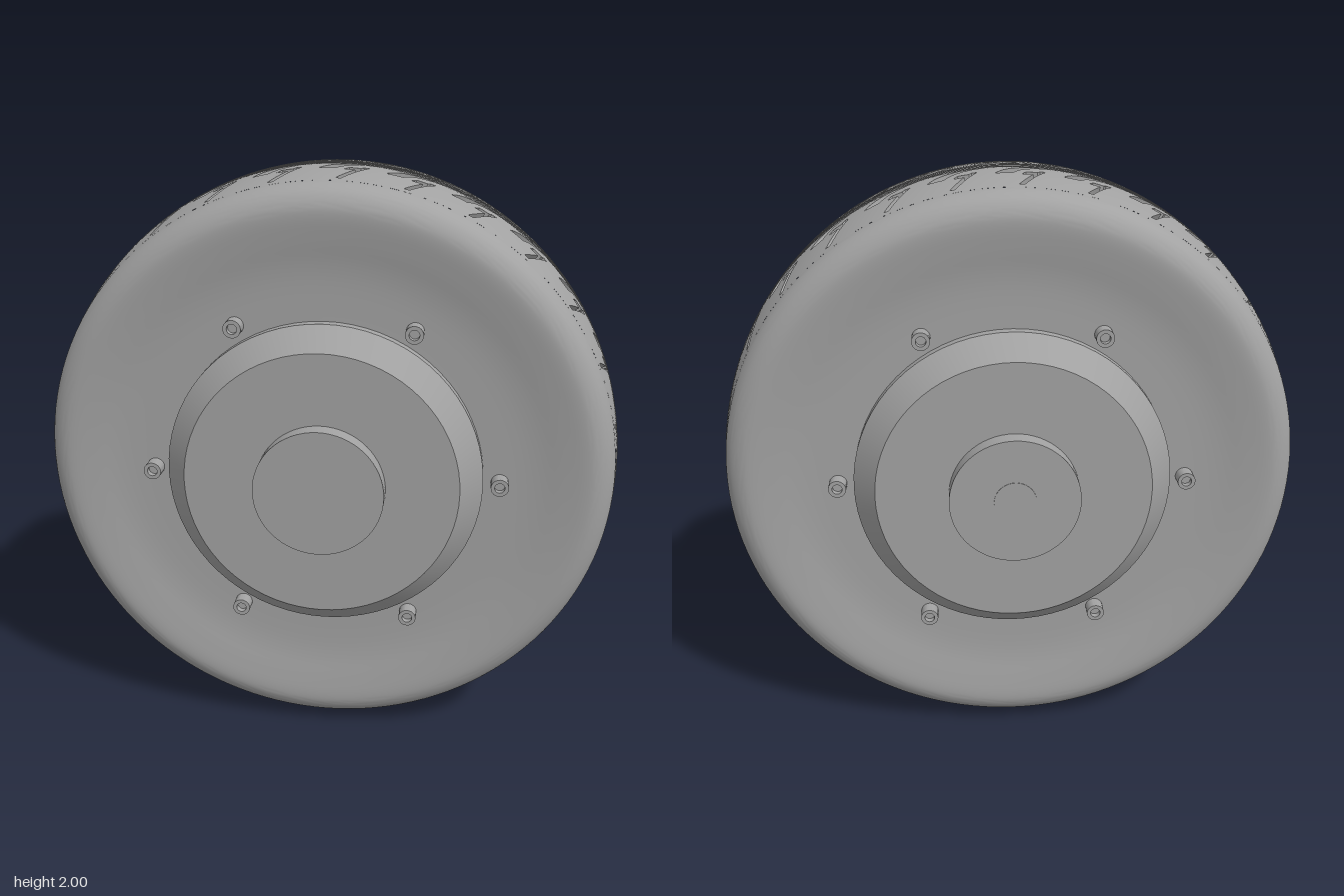
import * as THREE from 'three';
import { toCreasedNormals } from 'three/addons/utils/BufferGeometryUtils.js';

const grey = new THREE.MeshStandardMaterial({ color: 0xa2a2a2 });
grey.name = 'grey';

function part(name, geometry, parent) {
  const mesh = new THREE.Mesh(geometry, grey);
  mesh.name = name;
  parent.add(mesh);
  return mesh;
}

// Turned part about the z axis from [radius, z] points
function turned(points, segments, crease = 0.5) {
  const pts = points.map(([r, z]) => new THREE.Vector2(r, z));
  return toCreasedNormals(new THREE.LatheGeometry(pts, segments).rotateX(Math.PI / 2), crease);
}

// Tread band: a grid skewed along the groove direction, with sunken cells
const PITCHES = 28, CELLS = 12, COLS = 40, HALF = 0.26, DEPTH = 0.02;
const crown = z => 1 - 0.4 * z * z;
const skew = z => 0.5 * z + 0.25 * Math.tanh(z / 0.04);

function isGroove(i, j) {
  const z = ((j + 0.5) / COLS * 2 - 1) * HALF;
  let k = ((i % CELLS) + CELLS) % CELLS;
  if (z < 0) k = CELLS - 1 - k;
  const a = Math.abs(z);
  const lateral = k === 2 && a > 0.085 && a < 0.235;
  const stub = (k === 3 || k === 4) && a > 0.108 && a < 0.135;
  const centre = k >= 7 && k <= 9 && a > 0.012 && a < 0.115;
  return lateral || stub || centre;
}

function treadGeometry() {
  const pos = [], rows = PITCHES * CELLS;
  const point = ([i, j], depth) => {
    const z = (j / COLS * 2 - 1) * HALF;
    const angle = i / rows * Math.PI * 2 + skew(z), r = crown(z) - depth;
    return [r * Math.cos(angle), r * Math.sin(angle), z];
  };
  const quad = (a, b, c, d) => pos.push(...a, ...b, ...c, ...a, ...c, ...d);
  for (let i = 0; i < rows; i++) for (let j = 0; j < COLS; j++) {
    const deep = isGroove(i, j);
    const c = [[i, j], [i + 1, j], [i + 1, j + 1], [i, j + 1]];
    quad(...c.map(p => point(p, deep ? DEPTH : 0)));
    if (!deep) continue;
    // Groove walls
    [[i, j - 1], [i + 1, j], [i, j + 1], [i - 1, j]].forEach((n, e) => {
      if (isGroove(...n)) return;
      const a = c[e], b = c[(e + 1) % 4];
      quad(point(b, DEPTH), point(a, DEPTH), point(a, 0), point(b, 0));
    });
  }
  const g = new THREE.BufferGeometry();
  g.setAttribute('position', new THREE.Float32BufferAttribute(pos, 3));
  return toCreasedNormals(g, 0.4);
}

// Sidewall, hub, boss and bolts of one face, pointing to +z
function wheelFace(name) {
  const face = new THREE.Group();
  face.name = name;
  const wall = new THREE.SplineCurve([
    [crown(HALF), HALF], [0.966, 0.29], [0.945, 0.323], [0.91, 0.345], [0.87, 0.35],
    [0.8, 0.342], [0.72, 0.33], [0.64, 0.325], [0.5, 0.325],
  ].map(p => new THREE.Vector2(...p))).getPoints(40).map(p => [p.x, p.y]);
  part('sidewall', turned(wall, 128, 1), face);
  part('hub', turned([[0.535, 0.3], [0.535, 0.36], [0.46, 0.44], [0, 0.44]], 72), face);
  part('boss', turned([[0.217, 0.43], [0.217, 0.5], [0, 0.5]], 64), face);
  const bolt = turned([[0.03, 0.3], [0.03, 0.373], [0.017, 0.373], [0.017, 0.352], [0, 0.352]], 24);
  for (let i = 0; i < 6; i++) {
    const a = i * Math.PI / 3;
    part('bolt', bolt, face).position.set(0.59 * Math.cos(a), 0.59 * Math.sin(a), 0);
  }
  return face;
}

export function createModel() {
  const wheel = new THREE.Group();
  wheel.name = 'wheel';
  part('tread', treadGeometry(), wheel);
  const front = wheelFace('frontFace');
  const back = wheelFace('backFace');
  back.rotation.y = Math.PI;
  // Axle end, seen only on the back boss
  part('axleEnd', turned([[0.07, 0.49], [0.07, 0.502], [0, 0.502]], 48), back);
  wheel.add(front, back);
  wheel.position.y = 1;
  const model = new THREE.Group();
  model.name = 'wheelModel';
  model.add(wheel);
  return model;
}
